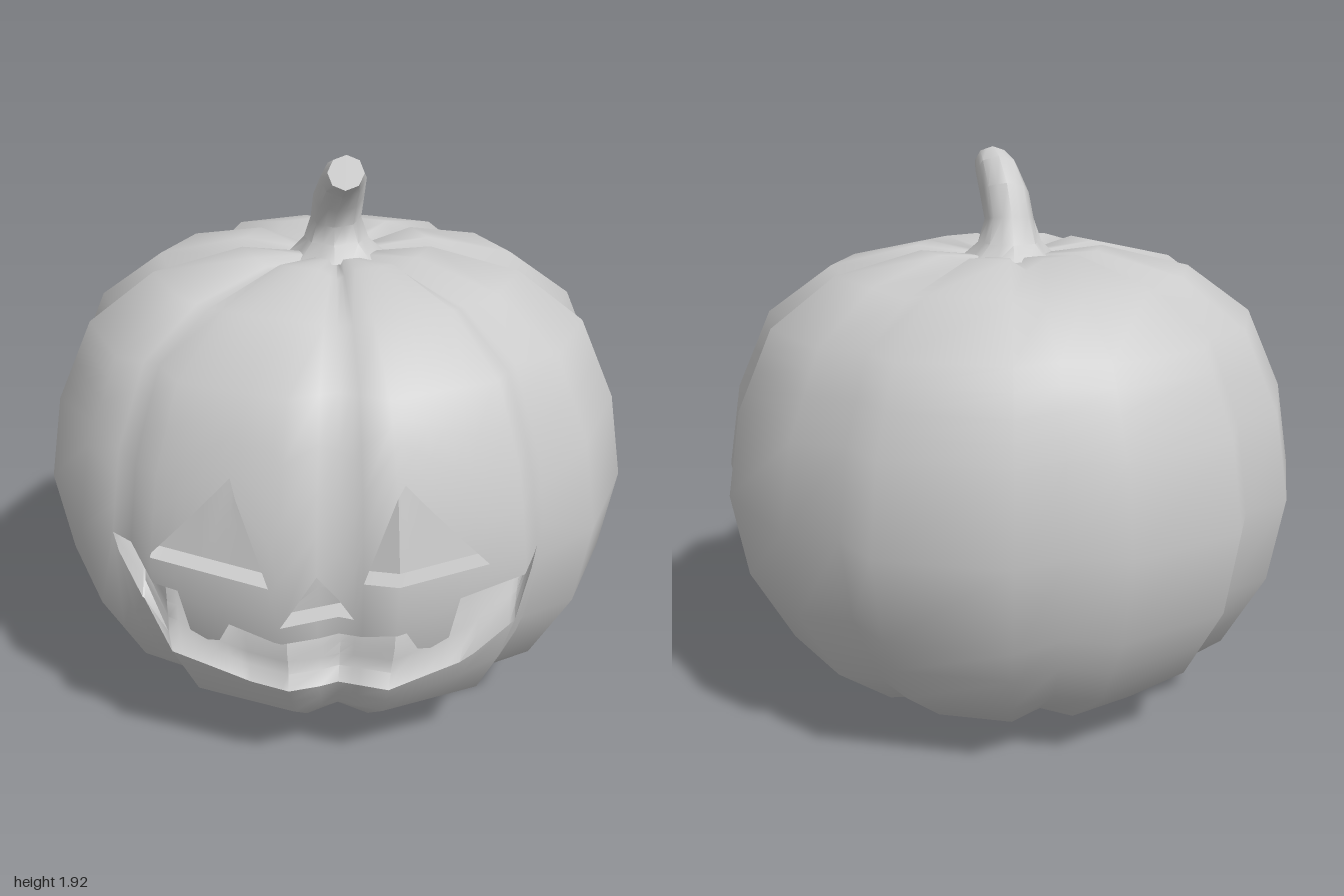
import * as THREE from 'three';
import { toCreasedNormals } from 'three/addons/utils/BufferGeometryUtils.js';

const V = (x, y, z) => new THREE.Vector3(x, y, z);
const lerp = THREE.MathUtils.lerp;

// Body rings, bottom to top: [radius, height, height change inside a groove]
const RINGS = [[0, 0.05, 0], [0.28, 0, 0.03], [0.59, 0.08, 0.02], [0.81, 0.25, 0], [0.955, 0.51, 0],
  [1.007, 0.8, 0], [0.96, 1.09, 0], [0.84, 1.36, 0], [0.62, 1.52, -0.03], [0.32, 1.59, -0.04],
  [0.12, 1.565, -0.03], [0, 1.53, 0]];

// Eight lobes, three columns each: a groove and two shoulders
function corner(i, r) {
  const lobe = Math.floor(i / 3), j = i - lobe * 3;
  const a = THREE.MathUtils.degToRad(4 + 45 * lobe + [0, 10.2, 34.8][j]);
  const [R, y, dip] = RINGS[r];
  const rad = R * (j ? 1 : 0.92);
  return V(rad * Math.sin(a), y + (j ? 0 : dip), rad * Math.cos(a));
}

// Point on the body: u counts columns (0 is the front groove), v counts rings
function point(u, v) {
  v = THREE.MathUtils.clamp(v, 0, RINGS.length - 1);
  const i = Math.floor(u), r = Math.min(Math.floor(v), RINGS.length - 2);
  const low = corner(i, r).lerp(corner(i + 1, r), u - i);
  const high = corner(i, r + 1).lerp(corner(i + 1, r + 1), u - i);
  return low.lerp(high, v - r);
}

// Softly rounded normal across the coarse facets
function normal(u, v) {
  const w = THREE.MathUtils.clamp(v, 0.3, RINGS.length - 1.3);
  const du = point(u + 0.5, w).sub(point(u - 0.5, w));
  const dv = point(u, w + 0.5).sub(point(u, w - 0.5));
  return du.cross(dv).normalize();
}

function ringAt(y) {
  let r = 3;
  while (r < 6 && y > RINGS[r + 1][1]) r++;
  return r + (y - RINGS[r][1]) / (RINGS[r + 1][1] - RINGS[r][1]);
}

// Column position of a point seen from the front
function columnAt(x, y) {
  let a = -5, b = 5;
  for (let k = 0; k < 40; k++) {
    const m = (a + b) / 2;
    if (point(m, ringAt(y)).x < x) a = m; else b = m;
  }
  return (a + b) / 2;
}

// Mirrored outline given from the middle outward, closed at height rest away from the face
function outline(half, rest) {
  const left = half.filter(p => p[0] > 0).map(([x, y]) => [-x, y]).reverse();
  const keys = [...left, ...half].map(([x, y]) => [columnAt(x, y), y]);
  return [[-12, rest], [-4, rest], ...keys, [4, rest], [12, rest]];
}
function heightOn(keys, u) {
  let i = 0;
  while (i < keys.length - 2 && u > keys[i + 1][0]) i++;
  const [a, b] = [keys[i], keys[i + 1]];
  return lerp(a[1], b[1], (u - a[0]) / (b[0] - a[0]));
}

const mouthLow = outline([[0, 0.37], [0.22, 0.385], [0.44, 0.45], [0.59, 0.58], [0.655, 0.75], [0.67, 0.82]], 0.51);
const mouthHigh = outline([[0, 0.61], [0.13, 0.617], [0.27, 0.65], [0.305, 0.575], [0.345, 0.565], [0.4, 0.59],
  [0.43, 0.74], [0.67, 0.82]], 0.51);
const mouthRoof = outline([[0, 0.61], [0.27, 0.65], [0.43, 0.74], [0.67, 0.82]], 0.51);
const holeLow = outline([[0.11, 0.68], [0.14, 0.82], [0.515, 0.84]], 1.09);
const holeHigh = outline([[0, 0.84], [0.11, 0.68], [0.14, 0.82], [0.257, 1.13], [0.515, 0.84]], 1.09);

// Every column: the lobes plus all corners of the cut-outs
const columns = [];
for (let i = -12; i <= 12; i++) columns.push(i);
for (const o of [mouthLow, mouthHigh, holeLow, holeHigh]) for (const [u] of o) columns.push(u);
columns.sort((a, b) => a - b);
const COLS = columns.filter((u, i) => i === 0 || u - columns[i - 1] > 1e-5);

// Sheet made of columns of points; rows(u) returns [{p, n}]
function sheet(name, rows, isOpen = () => true) {
  const pos = [], nor = [];
  const tri = (...t) => {
    const area = t[1].p.clone().sub(t[0].p).cross(t[2].p.clone().sub(t[0].p)).length();
    if (area < 1e-7) return;
    for (const q of t) {
      pos.push(...q.p.toArray());
      if (q.n) nor.push(...q.n.toArray());
    }
  };
  for (let c = 0; c < COLS.length - 1; c++) {
    if (!isOpen((COLS[c] + COLS[c + 1]) / 2)) continue;
    const A = rows(COLS[c]), B = rows(COLS[c + 1]);
    for (let k = 0; k < A.length - 1; k++) {
      tri(A[k], B[k], B[k + 1]);
      tri(A[k], B[k + 1], A[k + 1]);
    }
  }
  let geo = new THREE.BufferGeometry();
  geo.setAttribute('position', new THREE.Float32BufferAttribute(pos, 3));
  if (nor.length) geo.setAttribute('normal', new THREE.Float32BufferAttribute(nor, 3));
  else geo = toCreasedNormals(geo, 0.7);
  return makeMesh(name, geo);
}
function makeMesh(name, geo) {
  const mesh = new THREE.Mesh(geo, new THREE.MeshStandardMaterial({ color: 0xcccccc, roughness: 0.8 }));
  mesh.name = name;
  return mesh;
}

const skin = (u, v) => ({ p: point(u, v), n: normal(u, v) });
const span = (u, y0, y1, n) => Array.from({ length: n + 1 }, (_, k) => skin(u, ringAt(lerp(y0, y1, k / n))));
const sunk = (u, y, depth) => ({ p: point(u, ringAt(y)).sub(V(0, 0, depth)) });

// Mouth: a hollow deepening up from the lower lip, closed by the upper lip
function mouthRows(u) {
  const low = heightOn(mouthLow, u), roof = heightOn(mouthRoof, u);
  const depth = 0.07 + 0.09 * Math.min(1, (roof - low) / 0.2);
  const rows = [];
  for (let k = 0; k <= 6; k++) rows.push(sunk(u, lerp(low, roof, k / 6), depth * (k / 6) ** 0.6));
  rows.push(sunk(u, heightOn(mouthHigh, u), 0));
  return rows;
}

// Eyes and nose: straight-walled pockets
function holeRows(u) {
  const a = heightOn(holeLow, u), b = heightOn(holeHigh, u), d = 0.08;
  return [sunk(u, a, 0), sunk(u, a, d), sunk(u, (a + b) / 2, d), sunk(u, b, d), sunk(u, b, 0)];
}

// Stem: sixteen points per ring, ribbed at the foot and octagonal at the tip
function stem() {
  // [x, y, z, radius, forward tilt, radius of every second point]
  const rings = [[0.005, 1.555, -0.01, 0.165, 0, 0.86], [0, 1.605, -0.01, 0.11, 0, 0.9], [0, 1.68, 0.005, 0.085, 0.2, 0.924],
    [0.012, 1.765, 0.045, 0.085, 0.5, 0.924], [0.03, 1.835, 0.1, 0.076, 0.8, 0.924], [0.042, 1.865, 0.165, 0.06, 1.0, 0.924],
    [0.042, 1.865, 0.165, 0, 1.0, 1]];
  const pos = [], idx = [], n = 16;
  for (const [x, y, z, r, tilt, inset] of rings) {
    for (let i = 0; i < n; i++) {
      const a = i / n * Math.PI * 2, q = r * (i % 2 ? inset : 1);
      const p = V(q * Math.sin(a), 0, q * Math.cos(a)).applyAxisAngle(V(1, 0, 0), tilt).add(V(x, y, z));
      pos.push(...p.toArray());
    }
  }
  for (let r = 0; r < rings.length - 1; r++) {
    for (let i = 0; i < n; i++) {
      const a = r * n + i, b = r * n + (i + 1) % n;
      idx.push(a, b, b + n);
      if (r < rings.length - 2) idx.push(a, b + n, a + n);
    }
  }
  const geo = new THREE.BufferGeometry();
  geo.setAttribute('position', new THREE.Float32BufferAttribute(pos, 3));
  geo.setIndex(idx);
  return makeMesh('stem', toCreasedNormals(geo, 0.85));
}

export function createModel() {
  const model = new THREE.Group();
  model.name = 'carvedPumpkin';
  const opened = (low, high) => u => heightOn(high, u) - heightOn(low, u) > 1e-5;
  model.add(
    sheet('lowerBody', u => [0, 1, 2].map(v => skin(u, v)).concat(span(u, 0.25, heightOn(mouthLow, u), 2))),
    sheet('mouth', mouthRows, opened(mouthLow, mouthHigh)),
    sheet('middleBody', u => span(u, heightOn(mouthHigh, u), heightOn(holeLow, u), 2)),
    sheet('eyesAndNose', holeRows, opened(holeLow, holeHigh)),
    sheet('upperBody', u => span(u, heightOn(holeHigh, u), 1.36, 4).concat([8, 9, 10, 11].map(v => skin(u, v)))),
    stem()
  );
  return model;
}
